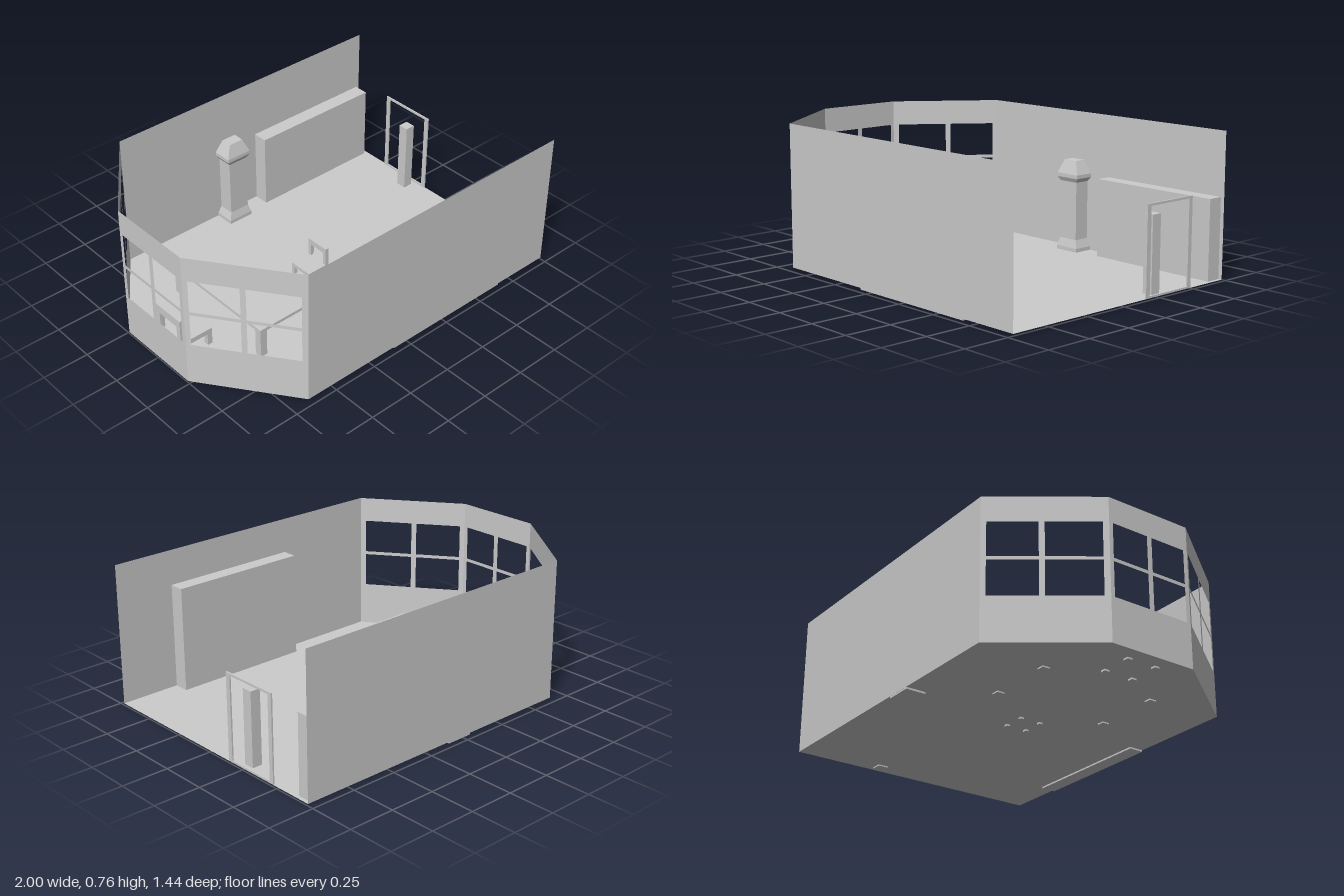
import * as THREE from 'three';

const FLOOR = 0.012, TOP = 0.763;

export function createModel() {
  const room = new THREE.Group();
  room.name = 'room';
  const solid = new THREE.MeshStandardMaterial({ color: 0xcccccc, flatShading: true });
  const sheet = new THREE.MeshStandardMaterial({ color: 0xcccccc, side: THREE.DoubleSide });

  const add = (parent, name, geometry, material = solid) => {
    const mesh = new THREE.Mesh(geometry, material);
    mesh.name = name;
    parent.add(mesh);
    return mesh;
  };
  // box given by its limits on each axis
  const box = (parent, name, x0, x1, y0, y1, z0, z1) =>
    add(parent, name, new THREE.BoxGeometry(x1 - x0, y1 - y0, z1 - z0)
      .translate((x0 + x1) / 2, (y0 + y1) / 2, (z0 + z1) / 2));
  const rect = (Type, x0, x1, y0, y1) => new Type([
    new THREE.Vector2(x0, y0), new THREE.Vector2(x1, y0),
    new THREE.Vector2(x1, y1), new THREE.Vector2(x0, y1)]);

  // floor with two cut corners
  const outline = [[-1, 0.24], [-0.65, 0.718], [1, 0.718], [1, -0.718], [-0.65, -0.718], [-1, -0.24]];
  const floor = new THREE.Shape(outline.map(([x, z]) => new THREE.Vector2(x, -z)));
  add(room, 'floor', new THREE.ShapeGeometry(floor).rotateX(-Math.PI / 2).translate(0, FLOOR, 0), sheet);

  // thin upright wall between two floor points, optionally with four panes
  const wall = (name, [ax, az], [bx, bz], mullion) => {
    const length = Math.hypot(bx - ax, bz - az);
    const shape = rect(THREE.Shape, 0, length, FLOOR, TOP);
    if (mullion) {
      const columns = [[0.05 * length, mullion * length - 0.014], [mullion * length + 0.014, 0.955 * length]];
      for (const [u0, u1] of columns)
        for (const [y0, y1] of [[0.247, 0.43], [0.448, 0.63]])
          shape.holes.push(rect(THREE.Path, u0, u1, y0, y1));
    }
    const mesh = add(room, name, new THREE.ShapeGeometry(shape), sheet);
    mesh.position.set(ax, 0, az);
    mesh.rotation.y = Math.atan2(az - bz, bx - ax);
  };
  wall('frontWall', outline[1], outline[2]);
  wall('backWall', outline[3], outline[4]);
  wall('frontBayWindow', outline[1], outline[0], 0.515);
  wall('endBayWindow', outline[0], outline[5], 0.495);
  wall('backBayWindow', outline[5], outline[4], 0.525);

  // cabinets against the long walls
  box(room, 'tallCabinet', -0.085, 0.67, 0.003, 0.575, 0.635, 0.717);
  box(room, 'lowCabinet', 0.225, 0.98, FLOOR, 0.43, -0.717, -0.635);

  // desk: top, legs and a panel facing the visitor
  const desk = new THREE.Group();
  desk.name = 'desk';
  room.add(desk);
  box(desk, 'deskTop', -0.627, -0.23, 0.163, 0.18, -0.345, 0.34);
  for (const x of [-0.627, -0.27])
    for (const z of [-0.345, 0.3])
      box(desk, 'deskLeg', x, x + 0.04, 0.005, 0.163, z, z + 0.04);
  box(desk, 'deskPanel', -0.25, -0.235, 0.018, 0.163, -0.305, 0.3);

  // chair with an open back; the back stands on the local +x side
  const chair = (name, x, scale, turn) => {
    const group = new THREE.Group();
    group.name = name;
    const h = 0.068, t = 0.02;
    box(group, 'seat', -h, h, 0.055, 0.075, -h, h);
    for (const sx of [-h, h - t])
      for (const sz of [-h, h - t])
        box(group, 'chairLeg', sx, sx + t, 0, 0.055, sz, sz + t);
    for (const sz of [-h, h - t])
      box(group, 'backPost', h - t, h, 0.075, 0.145, sz, sz + t);
    box(group, 'backRail', h - t, h, 0.145, 0.177, -h, h);
    group.position.set(x, 0.003, 0.002);
    group.rotation.y = turn;
    group.scale.setScalar(scale);
    room.add(group);
  };
  chair('visitorChair', -0.008, 1, 0);
  chair('deskChair', -0.833, 1.4, Math.PI);

  // four-sided stove column with flared foot and tapered cap
  const profile = [[0, 0], [1, 0], [1, 0.03], [0.8, 0.075], [0.8, 0.39], [1, 0.412], [1, 0.432], [0.58, 0.505], [0, 0.505]];
  const stove = add(room, 'stoveColumn', new THREE.LatheGeometry(
    profile.map(([r, y]) => new THREE.Vector2(r * Math.SQRT2, y)), 4, Math.PI / 4).toNonIndexed());
  stove.geometry.computeVertexNormals();
  stove.scale.set(0.073, 1, 0.054);
  stove.position.set(0.023, 0.002, -0.663);

  // post and thin door frame at the open end
  box(room, 'post', 0.91, 0.965, 0.005, 0.405, -0.285, -0.228);
  const frame = rect(THREE.Shape, 0.15, 0.475, FLOOR, 0.472);
  frame.holes.push(rect(THREE.Path, 0.176, 0.451, 0.022, 0.46));
  add(room, 'doorFrame', new THREE.ExtrudeGeometry(frame, { depth: 0.008, bevelEnabled: false })
    .rotateY(Math.PI / 2).translate(0.992, 0, 0));

  return room;
}
